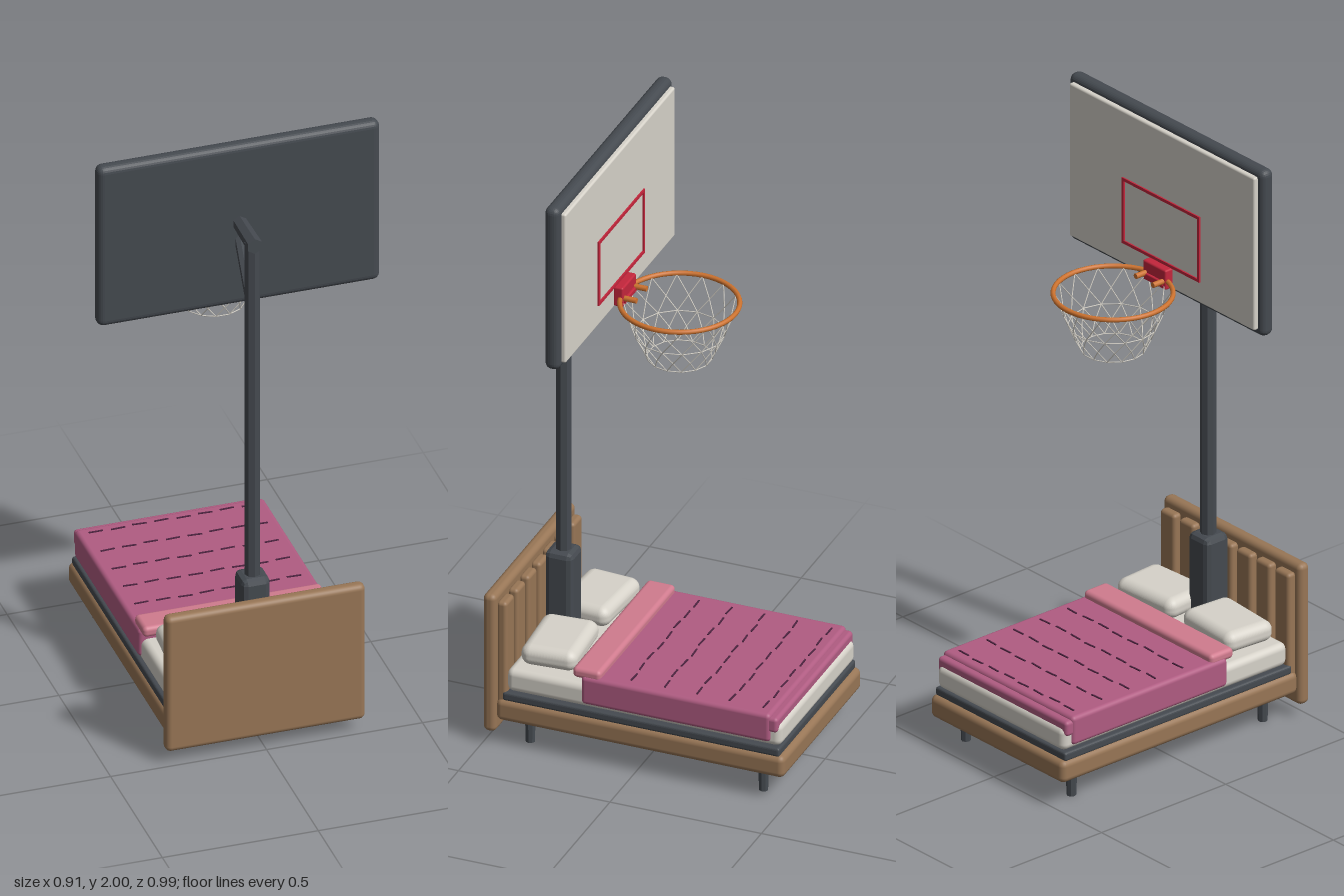
import * as THREE from 'three';
import { RoundedBoxGeometry } from 'three/addons/geometries/RoundedBoxGeometry.js';
import { mergeGeometries } from 'three/addons/utils/BufferGeometryUtils.js';

const mat = (name, color, flatShading = false) => {
  const m = new THREE.MeshStandardMaterial({ color, flatShading });
  m.name = name;
  return m;
};

export function createModel() {
  const model = new THREE.Group();
  model.name = 'bedWithHoop';

  const wood = mat('wood', 0x987656);
  const steel = mat('darkSteel', 0x454a50, true);
  const linen = mat('linen', 0xd6d2c9);
  const blanketPink = mat('blanketPink', 0xb05c82);
  const foldPink = mat('foldPink', 0xd07b8e);
  const thread = mat('thread', 0x4d2440);
  const red = mat('red', 0xc4263c);
  const orange = mat('orange', 0xcf7430);

  const add = (name, geometry, material, x = 0, y = 0, z = 0, parent = model) => {
    const mesh = new THREE.Mesh(geometry, material);
    mesh.name = name;
    mesh.position.set(x, y, z);
    parent.add(mesh);
    return mesh;
  };
  const group = (name) => {
    const g = new THREE.Group();
    g.name = name;
    model.add(g);
    return g;
  };
  // Rounded block given by its limits on each axis
  const block = (name, material, [x0, x1], [y0, y1], [z0, z1], radius, parent = model, segments = 3) =>
    add(name, new RoundedBoxGeometry(x1 - x0, y1 - y0, z1 - z0, segments, radius), material,
      (x0 + x1) / 2, (y0 + y1) / 2, (z0 + z1) / 2, parent);
  // Straight bar between two points
  const barGeometry = (a, b, radius, sides) => {
    const dir = b.clone().sub(a);
    const g = new THREE.CylinderGeometry(radius, radius, dir.length(), sides);
    g.applyQuaternion(new THREE.Quaternion().setFromUnitVectors(new THREE.Vector3(0, 1, 0), dir.normalize()));
    const mid = a.clone().add(b).multiplyScalar(0.5);
    return g.translate(mid.x, mid.y, mid.z);
  };
  const V = (x, y, z) => new THREE.Vector3(x, y, z);

  // Bed frame, headboard and slats
  const bed = group('bedFrame');
  block('frame', wood, [-0.31, 0.31], [0.085, 0.16], [-0.492, 0.46], 0.02, bed);
  block('headboard', wood, [-0.32, 0.32], [0.045, 0.523], [0.455, 0.498], 0.018, bed);
  for (let i = -3; i <= 3; i++) {
    const x = i * 0.0885;
    block('headboardSlat', wood, [x - 0.034, x + 0.034], [0.12, 0.495], [0.426, 0.46], 0.012, bed);
  }
  block('bedBase', steel, [-0.302, 0.302], [0.155, 0.185], [-0.475, 0.44], 0.008, bed, 2);
  for (const x of [-0.245, 0.245]) {
    for (const z of [-0.4, 0.37]) {
      add('leg', new THREE.CylinderGeometry(0.018, 0.015, 0.1, 8), steel, x, 0.05, z, bed);
    }
  }

  // Bedding
  const bedding = group('bedding');
  block('mattress', linen, [-0.295, 0.295], [0.185, 0.263], [-0.477, 0.43], 0.022, bedding);
  block('blanket', blanketPink, [-0.304, 0.304], [0.2, 0.297], [-0.445, 0.18], 0.014, bedding);
  block('blanketFootFlap', blanketPink, [-0.3, 0.3], [0.235, 0.286], [-0.468, -0.42], 0.012, bedding);
  block('blanketFold', foldPink, [-0.298, 0.298], [0.284, 0.32], [0.117, 0.21], 0.014, bedding);
  for (let row = 0; row < 5; row++) {
    for (let i = 0; i < 8; i++) {
      const z = -0.41 + row * 0.11 + 0.003 * Math.sin(i * 1.9 + row);
      const dash = add('stitch', new THREE.BoxGeometry(0.045, 0.004, 0.005), thread,
        -0.245 + i * 0.07, 0.298, z, bedding);
      dash.rotation.y = 0.06 * Math.sin(i * 2.3 + row * 1.7);
    }
  }

  // Pillows: cushions thinned towards the rim
  for (const side of [-1, 1]) {
    const g = new RoundedBoxGeometry(0.245, 0.072, 0.18, 8, 0.03);
    const p = g.attributes.position;
    for (let i = 0; i < p.count; i++) {
      const u = Math.abs(p.getX(i)) / 0.1225, w = Math.abs(p.getZ(i)) / 0.09;
      p.setY(i, p.getY(i) * (1 - 0.18 * u * u * w * w));
    }
    g.computeVertexNormals();
    add('pillow', g, linen, side * 0.15, 0.308, 0.312, bedding).rotation.y = side * 0.07;
  }

  // Pole with padded base, arm and brace
  const pole = group('pole');
  block('poleBase', steel, [-0.046, 0.046], [0, 0.55], [0.318, 0.41], 0.018, pole, 1);
  add('post', new THREE.CylinderGeometry(0.025, 0.025, 1.23, 8), steel, 0, 1.115, 0.363, pole);
  const arm = add('arm', new THREE.CylinderGeometry(0.026, 0.023, 0.16, 6), steel, 0, 1.727, 0.308, pole);
  arm.rotation.x = Math.PI / 2;
  add('brace', barGeometry(V(0, 1.48, 0.36), V(0, 1.68, 0.225), 0.015, 6), steel, 0, 0, 0, pole);

  // Backboard with painted target frame on its playing face
  const board = group('backboard');
  block('boardFrame', steel, [-0.453, 0.453], [1.435, 2], [0.19, 0.24], 0.022, board);
  block('boardFace', linen, [-0.43, 0.43], [1.458, 1.978], [0.175, 0.2], 0.007, board);
  for (const y of [1.535, 1.748]) {
    add('targetLine', new THREE.BoxGeometry(0.36, 0.01, 0.006), red, 0, y, 0.173, board);
  }
  for (const x of [-0.175, 0.175]) {
    add('targetLine', new THREE.BoxGeometry(0.01, 0.213, 0.006), red, x, 1.6415, 0.173, board);
  }

  // Rim and its mount
  const hoop = group('hoop');
  const rimY = 1.49, rimZ = -0.02;
  block('rimMount', red, [-0.053, 0.053], [1.463, 1.53], [0.145, 0.178], 0.006, hoop, 2);
  block('rimPlate', red, [-0.045, 0.045], [1.475, 1.492], [0.138, 0.16], 0.004, hoop, 2);
  add('rim', new THREE.TorusGeometry(0.183, 0.008, 8, 48).rotateX(Math.PI / 2), orange, 0, rimY, rimZ, hoop);
  for (const x of [-0.04, 0.04]) {
    add('rimBracket', barGeometry(V(x, rimY, 0.105), V(x, rimY, 0.16), 0.009, 8), orange, 0, 0, 0, hoop);
  }

  // Net: rings of cord joined by zigzags
  const rings = [[0.178, 1.488], [0.155, 1.43], [0.138, 1.385], [0.118, 1.342], [0.1, 1.303]];
  const count = 14;
  const knot = (row, i) => {
    const a = ((i + row / 2) / count) * Math.PI * 2;
    const [r, y] = rings[row];
    return V(r * Math.cos(a), y, rimZ + r * Math.sin(a));
  };
  const cords = [];
  const cord = (a, b) => cords.push(barGeometry(a, b, 0.0018, 5));
  for (let row = 1; row < rings.length; row++) {
    for (let i = 0; i < count; i++) {
      cord(knot(row, i), knot(row - 1, i));
      cord(knot(row, i), knot(row - 1, i + 1));
      if (row % 2 === 0) cord(knot(row, i), knot(row, i + 1));
    }
  }
  add('net', mergeGeometries(cords), linen, 0, 0, 0, hoop);

  return model;
}
